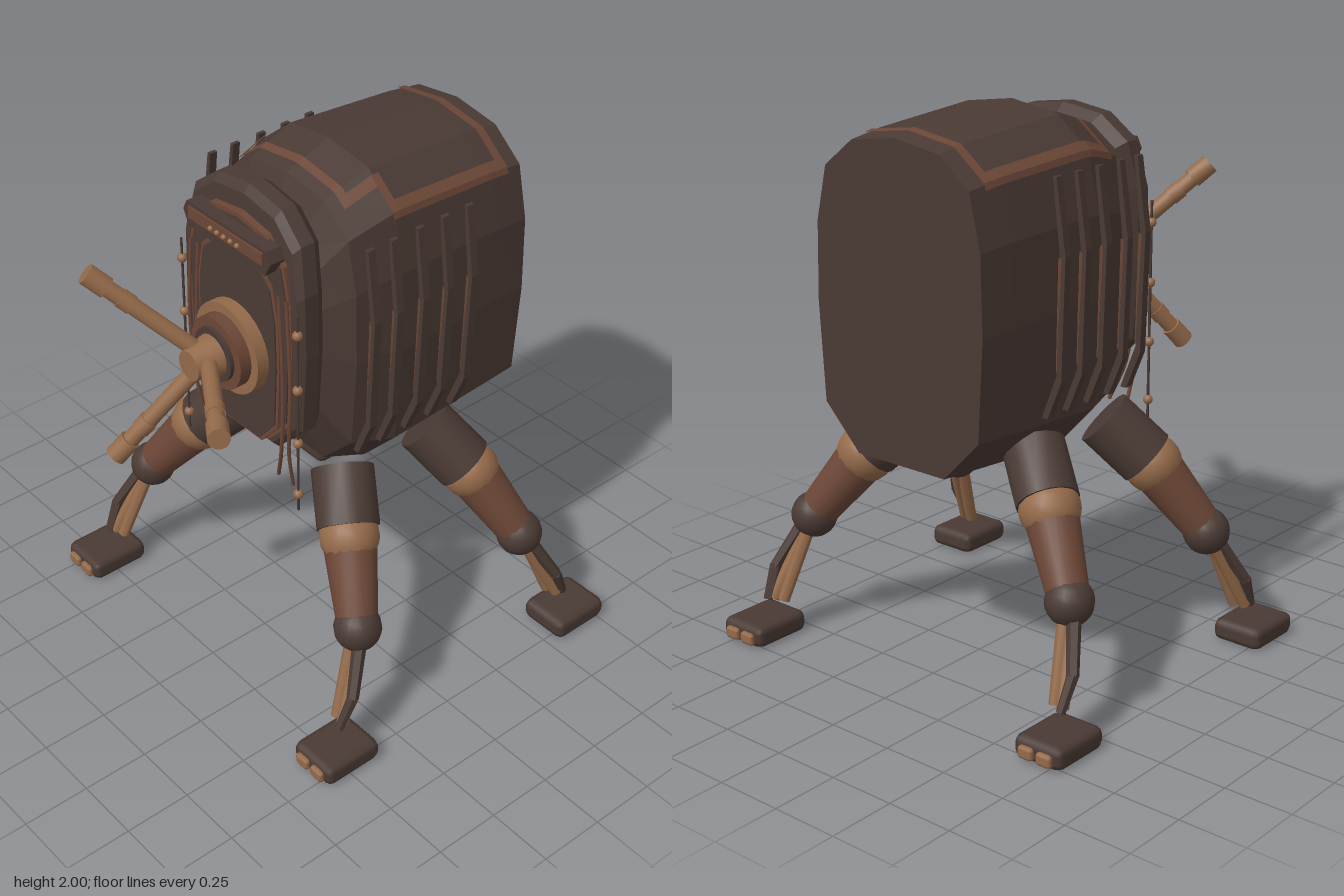
import * as THREE from 'three';
import { toCreasedNormals } from 'three/addons/utils/BufferGeometryUtils.js';
import { RoundedBoxGeometry } from 'three/addons/geometries/RoundedBoxGeometry.js';

const mat = (name, color) => {
  const m = new THREE.MeshStandardMaterial({ color });
  m.name = name;
  return m;
};
const V = (x, y, z) => new THREE.Vector3(x, y, z);

export function createModel() {
  const model = new THREE.Group();
  model.name = 'walkingPod';
  const dark = mat('dark bronze', 0x4a3a34);
  const brown = mat('red brown', 0x6c4737);
  const light = mat('light copper', 0x946a4a);

  const add = (name, geo, material, parent = model) => {
    const m = new THREE.Mesh(geo, material);
    m.name = name;
    parent.add(m);
    return m;
  };
  // Tapered round bar between two points
  const rod = (name, a, b, ra, rb, material, parent = model, sides = 16) => {
    const d = b.clone().sub(a);
    const g = toCreasedNormals(new THREE.CylinderGeometry(rb, ra, d.length(), sides), 0.6);
    const m = add(name, g, material, parent);
    m.position.copy(a).addScaledVector(d, 0.5);
    m.quaternion.setFromUnitVectors(V(0, 1, 0), d.normalize());
    return m;
  };
  const ball = (name, p, r, material, parent = model) =>
    add(name, new THREE.SphereGeometry(r, 16, 12), material, parent).position.copy(p);

  // Faceted solid through matching loops, ordered anticlockwise from the front, back to front
  const loft = (loops) => {
    const n = loops[0].length, pos = [];
    const tri = (...ps) => ps.forEach((p) => pos.push(p.x, p.y, p.z));
    for (let i = 0; i + 1 < loops.length; i++) {
      for (let j = 0; j < n; j++) {
        const k = (j + 1) % n, A = loops[i], B = loops[i + 1];
        tri(A[j], A[k], B[k]);
        tri(A[j], B[k], B[j]);
      }
    }
    const mid = (l) => l.reduce((s, p) => s.add(p), V(0, 0, 0)).divideScalar(n);
    const back = loops[0], front = loops[loops.length - 1];
    const cb = mid(back), cf = mid(front);
    for (let j = 0; j < n; j++) {
      const k = (j + 1) % n;
      tri(cb, back[k], back[j]);
      tri(cf, front[j], front[k]);
    }
    const g = new THREE.BufferGeometry();
    g.setAttribute('position', new THREE.Float32BufferAttribute(pos, 3));
    g.computeVertexNormals();
    return g;
  };

  // Half outline: width fraction and height fraction, top centre to bottom centre
  const half = [[0, 1], [0.52, 0.975], [0.86, 0.885], [0.98, 0.71], [1, 0.46], [0.94, 0.14], [0.53, 0], [0, 0]];
  const outline = (u, w, y0, y1, z) => {
    const t = Math.min(Math.abs(u), 7), i = Math.min(Math.floor(t), 6), f = t - i;
    const [a, b] = [half[i], half[i + 1]];
    return V(Math.sign(u) * w * (a[0] + (b[0] - a[0]) * f), y0 + (y1 - y0) * (a[1] + (b[1] - a[1]) * f), z);
  };
  const loop = (w, y0, y1, z) =>
    Array.from({ length: 14 }, (_, j) => outline(j < 8 ? -j : 14 - j, w, y0, y1, z));

  // Body hull: z, half width, bottom, top
  const sections = [[-0.645, 0.37, 0.83, 1.95], [-0.5, 0.376, 0.82, 1.97], [-0.06, 0.386, 0.79, 2],
    [0.12, 0.36, 0.86, 1.935], [0.2, 0.27, 1.05, 1.76]];
  add('body', loft(sections.map(([z, w, b, t]) => loop(w, b, t, z))), dark);

  // Thin trim laid on the hull between two outline positions and two depths
  const onHull = (u, z) => {
    let i = 0;
    while (i < 3 && z > sections[i + 1][0]) i++;
    const f = (z - sections[i][0]) / (sections[i + 1][0] - sections[i][0]);
    const [, w, b, t] = sections[i].map((v, k) => v + (sections[i + 1][k] - v) * f);
    return outline(u, w + 0.007, b - 0.007, t + 0.007, z);
  };
  const trim = (u0, u1, z0, z1) => {
    const nu = Math.ceil((u1 - u0) * 8), nz = Math.ceil((z1 - z0) * 20), pos = [];
    const at = (i, j) => onHull(u0 + ((u1 - u0) * i) / nu, z0 + ((z1 - z0) * j) / nz).toArray();
    for (let i = 0; i < nu; i++) {
      for (let j = 0; j < nz; j++) {
        pos.push(...at(i, j), ...at(i, j + 1), ...at(i + 1, j + 1), ...at(i, j), ...at(i + 1, j + 1), ...at(i + 1, j));
      }
    }
    const g = new THREE.BufferGeometry();
    g.setAttribute('position', new THREE.Float32BufferAttribute(pos, 3));
    g.computeVertexNormals();
    add('roofTrim', g, brown);
  };
  trim(-2.1, 2.1, -0.58, -0.545);
  trim(-2.1, -1.75, -0.545, 0.05);
  trim(1.75, 2.1, -0.545, -0.08);
  trim(1.15, 2.1, -0.08, -0.05);
  trim(1.15, 1.4, -0.05, 0.05);
  trim(-2.1, 1.4, 0.05, 0.08);

  // Front collar, leaning back toward its top
  const lean = (l) => l.map((p) => p.setZ(p.z - Math.max(0, p.y - 1.7) * 0.12));
  add('frontCollar', loft([loop(0.29, 1.03, 1.92, 0.21), loop(0.32, 0.99, 1.95, 0.25),
    loop(0.32, 0.99, 1.95, 0.305), loop(0.3, 1.01, 1.92, 0.325)].map(lean)), dark);

  // Stacked door frames
  [[0.275, 1.02, 1.86, 0.329, brown], [0.26, 1.03, 1.845, 0.334, dark],
    [0.218, 1.0, 1.75, 0.338, brown], [0.205, 1.01, 1.735, 0.343, dark]].forEach(([w, b, t, z, m], i) =>
    add('doorLayer' + i, loft([loop(w, b, t, 0.29), loop(w, b, t, z)]), m));

  // Nameless plate above the door with small studs
  const bar = new THREE.Shape([[-0.23, 1.79], [-0.2, 1.735], [0.2, 1.735], [0.23, 1.79], [0.21, 1.83], [-0.21, 1.83]]
    .map((p) => new THREE.Vector2(...p)));
  add('plateBacking', new THREE.ExtrudeGeometry(bar, { depth: 0.06, bevelEnabled: false }), dark).position.z = 0.318;
  add('plate', new THREE.BoxGeometry(0.39, 0.045, 0.008), brown).position.set(0, 1.795, 0.381);
  for (let i = -2; i <= 2; i++) ball('plateStud', V(i * 0.035, 1.79, 0.387), 0.01, light);

  // Wheel hub, stepped toward the front
  [[0.17, 0.17, 0.33, 0.39, light], [0.135, 0.135, 0.38, 0.435, brown], [0.1, 0.1, 0.43, 0.45, dark],
    [0.08, 0.055, 0.44, 0.55, light]].forEach(([ra, rb, z0, z1, m], i) =>
    rod('hubStep' + i, V(0, 1.35, z0), V(0, 1.35, z1), ra, rb, m, model, 28));

  // Three handles with sleeved grips
  [[0.43, 1.405], [-0.255, 1.67], [-0.16, 0.985]].forEach(([x, y]) => {
    const a = V(0, 1.35, 0.47), b = V(x, y, 0.755);
    rod('handle', a, b, 0.03, 0.03, light);
    rod('handleSleeve', a.clone().lerp(b, 0.64), a.clone().lerp(b, 0.74), 0.034, 0.034, light);
    rod('handleGrip', a.clone().lerp(b, 0.85), b.clone().lerp(a, -0.02), 0.038, 0.038, light);
  });

  for (const s of [1, -1]) {
    // Curved side fins with a narrow inner strip
    const fin = new THREE.Shape([[0.36, 1.0], [0.385, 1.0], [0.443, 1.14], [0.457, 1.57], [0.418, 1.83],
      [0.403, 1.83], [0.435, 1.56], [0.423, 1.16]].map(([x, y]) => new THREE.Vector2(s * x, y)));
    for (const z of [0.115, 0.015, -0.1, -0.21, -0.32]) {
      add('sideFin', new THREE.ExtrudeGeometry(fin, { depth: 0.03, bevelEnabled: false }), dark).position.z = z - 0.015;
      rod('finInlay', V(s * 0.425, 1.17, z), V(s * 0.437, 1.56, z), 0.014, 0.017, brown, model, 6);
    }
    // Door side rails with bolts, and thin hoses
    rod('sideRail', V(s * 0.31, 0.81, 0.335), V(s * 0.31, 1.62, 0.335), 0.005, 0.005, dark, model, 6);
    for (let i = 0; i < 4; i++) ball('railBolt', V(s * 0.31, 0.88 + i * 0.22, 0.335), 0.018, light);
    for (const o of [0, 0.04]) {
      const c = new THREE.CatmullRomCurve3([V(s * (0.215 + o), 1.65, 0.335), V(s * (0.235 + o), 1.3, 0.338),
        V(s * (0.215 + o), 1.02, 0.33), V(s * (0.16 + o * 2), 0.86, 0.3)]);
      add('hose', new THREE.TubeGeometry(c, 20, 0.007, 6), brown);
    }
  }

  // Four splayed legs, mirrored left to right and about the hull's middle
  const midZ = -0.085;
  for (const s of [1, -1]) {
    for (const f of [1, -1]) {
      const leg = new THREE.Group();
      leg.name = (f > 0 ? 'front' : 'rear') + (s > 0 ? 'Left' : 'Right') + 'Leg';
      model.add(leg);
      const P = (x, y, z) => V(s * x, y, midZ + f * (z - midZ));
      const hip = P(0.28, 0.865, 0.11), thigh = P(0.43, 0.7, 0.205), knee = P(0.6, 0.45, 0.31);
      rod('hip', hip, thigh.clone().lerp(hip, 0.12), 0.112, 0.112, dark, leg);
      ball('hipJoint', thigh, 0.108, light, leg);
      rod('thigh', thigh, knee, 0.098, 0.072, brown, leg);
      ball('knee', knee, 0.086, dark, leg);
      // Shin of two copper rods and a bent outer guard
      rod('shinRod', P(0.6, 0.43, 0.33), P(0.645, 0.135, 0.44), 0.026, 0.022, light, leg);
      rod('shinRod', P(0.62, 0.43, 0.31), P(0.685, 0.135, 0.45), 0.026, 0.022, light, leg);
      rod('shinGuard', P(0.635, 0.42, 0.33), P(0.703, 0.25, 0.42), 0.026, 0.022, dark, leg, 6);
      rod('shinGuard', P(0.703, 0.255, 0.418), P(0.695, 0.135, 0.472), 0.022, 0.017, dark, leg, 6);
      // Foot pad with two toes
      add('foot', new RoundedBoxGeometry(0.2, 0.082, 0.24, 1, 0.028), dark, leg).position.copy(P(0.7, 0.042, 0.487));
      for (const x of [0.662, 0.738]) {
        add('toe', new RoundedBoxGeometry(0.062, 0.045, 0.05, 1, 0.012), light, leg).position.copy(P(x, 0.036, 0.598));
      }
    }
  }
  return model;
}
